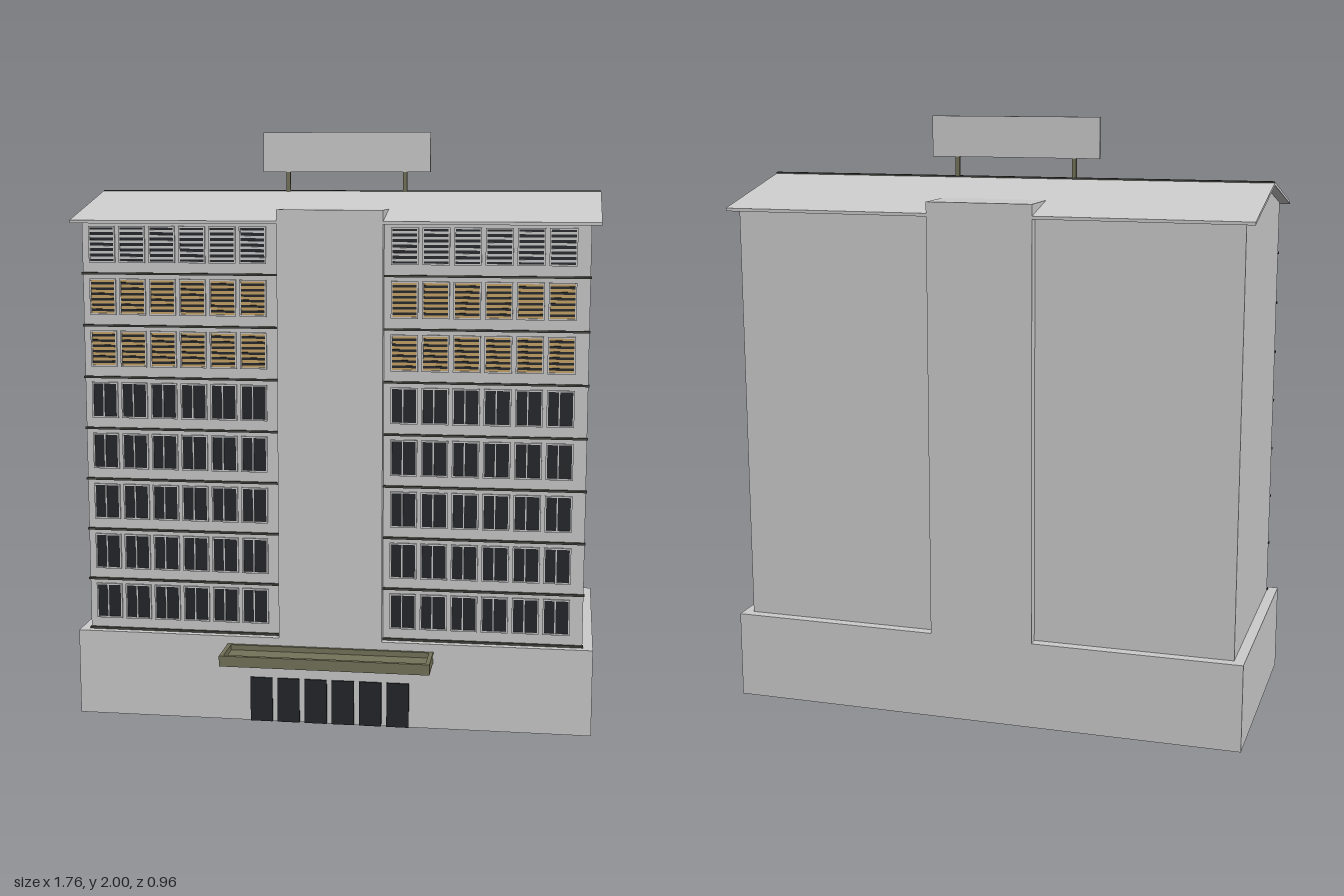
import * as THREE from 'three';

const mat = (color) => new THREE.MeshStandardMaterial({ color });
const grey = mat(0xcccccc);
const glass = mat(0x24262a);
const tan = mat(0xc9a566);
const olive = mat(0x74745a);
const dark = mat(0x44443f);

// Box given by its limits on each axis
function box(parent, name, material, [x0, x1], [y0, y1], [z0, z1]) {
  const mesh = new THREE.Mesh(new THREE.BoxGeometry(x1 - x0, y1 - y0, z1 - z0), material);
  mesh.position.set((x0 + x1) / 2, (y0 + y1) / 2, (z0 + z1) / 2);
  mesh.name = name;
  parent.add(mesh);
  return mesh;
}

// Profile of [z, y] points extruded along x, centred on x = 0
function prism(parent, name, material, points, width) {
  const shape = new THREE.Shape(points.map(([z, y]) => new THREE.Vector2(z, y)));
  const geometry = new THREE.ExtrudeGeometry(shape, { depth: width, bevelEnabled: false });
  geometry.translate(0, 0, -width / 2).rotateY(-Math.PI / 2);
  const mesh = new THREE.Mesh(geometry, material);
  mesh.name = name;
  parent.add(mesh);
}

const WALL = 0.305; // front wall plane
const W = 0.08, H = 0.112; // window size

// Window centred on x with its bottom at y: pane, frame, then mullion or louvres
function makeWindow(x, y, floor) {
  const g = new THREE.Group();
  g.name = 'window';
  const l = x - W / 2, r = x + W / 2, t = y + H, f = 0.005;
  const front = [WALL - 0.005, WALL + 0.006];
  const lit = floor === 5 || floor === 6;
  box(g, 'pane', lit ? tan : glass, [l, r], [y, t], [WALL - 0.005, WALL + 0.002]);
  box(g, 'frameLeft', grey, [l - f, l], [y - f, t + f], front);
  box(g, 'frameRight', grey, [r, r + f], [y - f, t + f], front);
  box(g, 'frameBottom', grey, [l, r], [y - f, y], front);
  box(g, 'frameTop', grey, [l, r], [t, t + f], front);
  if (floor < 5) {
    box(g, 'mullion', grey, [x - 0.006, x - 0.002], [y, t], front);
  } else {
    for (let i = 0; i < 6; i++) {
      const s = y + 0.007 + i * 0.018;
      box(g, 'louvre', lit ? glass : grey, [l, r], [s, s + 0.008], [WALL, WALL + 0.005]);
    }
  }
  return g;
}

export function createModel() {
  const model = new THREE.Group();
  model.name = 'officeBlock';

  // Base, main block with gable ends, and central shaft
  box(model, 'podium', grey, [-0.88, 0.88], [0, 0.295], [-0.48, 0.338]);
  prism(model, 'mainBlock', grey, [
    [WALL, 0.295], [WALL, 1.702], [-0.07, 1.785], [-0.445, 1.702], [-0.445, 0.295],
  ], 1.69);
  box(model, 'centralShaft', grey, [-0.177, 0.175], [0.295, 1.742], [-0.48, 0.338]);

  // Thin pitched roof with a dark ridge strip
  prism(model, 'roof', grey, [
    [0.338, 1.705], [-0.07, 1.797], [-0.48, 1.705], [-0.48, 1.695], [-0.07, 1.787], [0.338, 1.695],
  ], 1.755);
  box(model, 'ridge', dark, [-0.877, 0.877], [1.785, 1.8], [-0.081, -0.069]);

  // Floors: ledges and windows on both wings
  const pitch = 0.1755;
  for (let floor = 0; floor < 8; floor++) {
    const y = 0.295 + floor * pitch;
    for (const [x0, x1, first] of [[-0.848, -0.177, -0.777], [0.175, 0.848, 0.243]]) {
      box(model, 'ledge', dark, [x0, x1], [y, y + 0.007], [WALL - 0.005, WALL + 0.008]);
      for (let i = 0; i < 6; i++) {
        model.add(makeWindow(first + i * 0.1028, y + 0.045, floor));
      }
    }
  }

  // Entrance doors
  for (let i = 0; i < 6; i++) {
    const x = -0.238 + i * 0.0937;
    box(model, 'door', glass, [x - 0.038, x + 0.038], [0, 0.154], [0.33, 0.344]);
  }

  // Entrance canopy: a tray with a raised rim
  const canopy = new THREE.Group();
  canopy.name = 'canopy';
  box(canopy, 'canopyFloor', olive, [-0.34, 0.335], [0.232, 0.25], [0.335, 0.47]);
  box(canopy, 'rimFront', olive, [-0.355, 0.35], [0.232, 0.268], [0.468, 0.482]);
  box(canopy, 'rimBack', olive, [-0.355, 0.35], [0.232, 0.268], [0.335, 0.349]);
  box(canopy, 'rimRight', olive, [-0.355, -0.341], [0.232, 0.268], [0.349, 0.468]);
  box(canopy, 'rimLeft', olive, [0.336, 0.35], [0.232, 0.268], [0.349, 0.468]);
  model.add(canopy);

  // Blank rooftop board on two posts
  box(model, 'roofBoard', grey, [-0.295, 0.292], [1.863, 2], [-0.078, -0.064]);
  for (const x of [-0.207, 0.204]) {
    box(model, 'boardPost', olive, [x - 0.007, x + 0.007], [1.78, 1.87], [-0.077, -0.065]);
  }
  return model;
}
